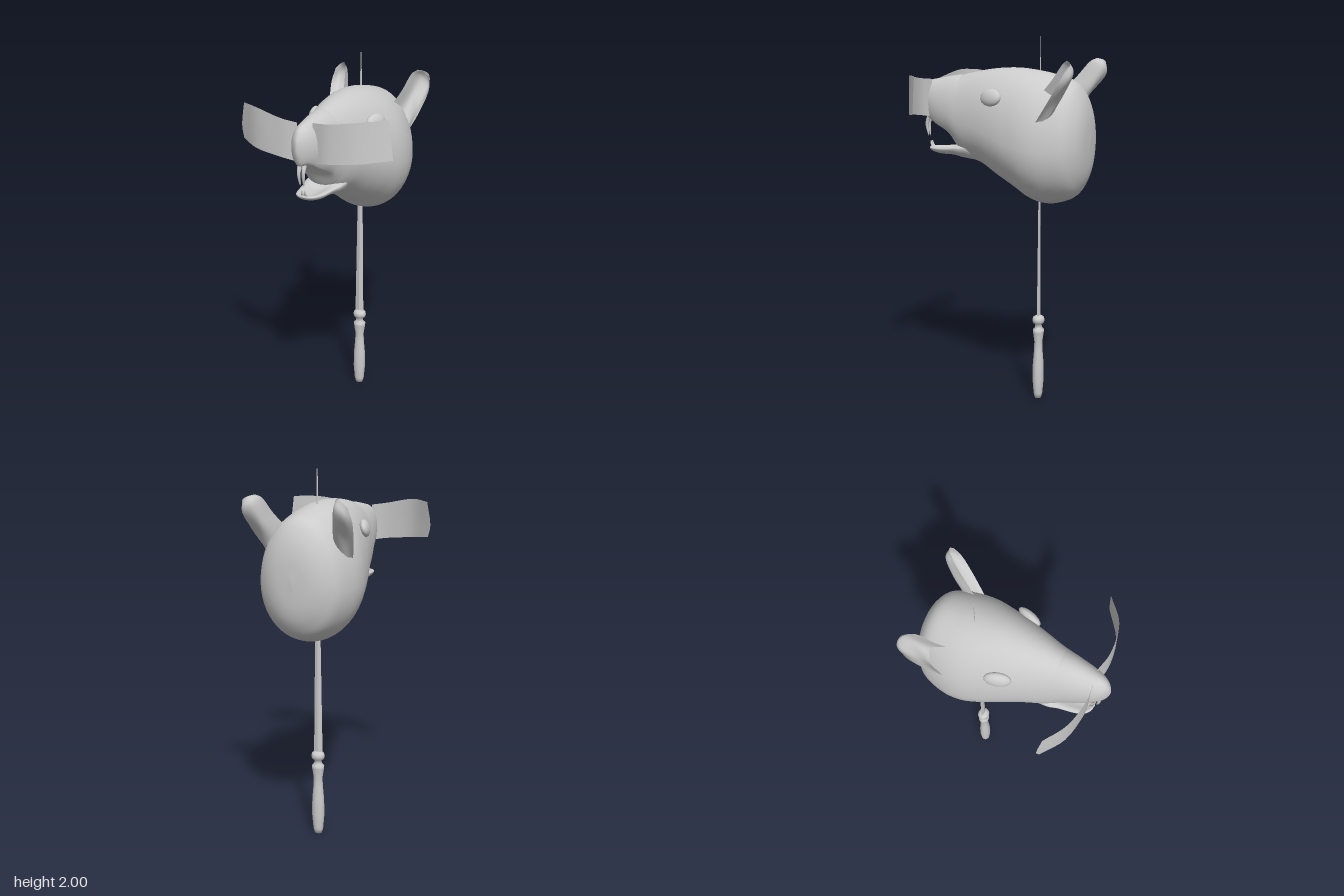
import * as THREE from 'three';

const V = (x, y, z) => new THREE.Vector3(x, y, z);
const solid = new THREE.MeshStandardMaterial({ color: 0xcccccc });
const flat = new THREE.MeshStandardMaterial({ color: 0xcccccc, flatShading: true });
const thin = new THREE.MeshStandardMaterial({ color: 0xcccccc, side: THREE.DoubleSide });
const spline = (pts) => new THREE.CatmullRomCurve3(pts, false, 'catmullrom', 0.5);

function add(group, name, geometry, material = solid) {
  const mesh = new THREE.Mesh(geometry, material);
  mesh.name = name;
  group.add(mesh);
  return mesh;
}

// Grid of points from a function point(row, column), both 0..1
function grid(rows, cols, point) {
  const pos = [], idx = [];
  for (let i = 0; i <= rows; i++) {
    for (let j = 0; j <= cols; j++) pos.push(...point(i / rows, j / cols).toArray());
  }
  for (let i = 0; i < rows; i++) {
    for (let j = 0; j < cols; j++) {
      const a = i * (cols + 1) + j, b = a + 1, c = a + cols + 1, d = c + 1;
      idx.push(a, b, c, b, d, c);
    }
  }
  const g = new THREE.BufferGeometry();
  g.setAttribute('position', new THREE.Float32BufferAttribute(pos, 3));
  g.setIndex(idx);
  g.computeVertexNormals();
  return g;
}

// Egg-shaped sections [z, top, bottom, halfWidth, widestY, hollow] lofted along z;
// hollow > 0 lifts the underside into an arch, hollow < 0 sinks the top
function loft(sections, rows, cols) {
  const outline = spline(sections.map(([z, t, b]) => V(t, b, z)));
  const shape = spline(sections.map(([, , , w, y, h = 0]) => V(w, y, h)));
  const g = grid(rows, cols, (u, v) => {
    const { x: top, y: bottom, z } = outline.getPoint(u);
    const { x: w, y: mid, z: hollow } = shape.getPoint(u);
    const a = v * Math.PI * 2 - Math.PI / 2;
    const s = Math.sin(a), c = Math.cos(a);
    let y = mid + s * (s > 0 ? top - mid : mid - bottom);
    if (s * hollow < 0) y += hollow * Math.max(0, 1 - (c / 0.75) ** 2);
    return V(Math.max(w, 0) * c, y, z);
  });
  // Same normal on both sides of the seam
  const n = g.attributes.normal;
  for (let i = 0; i <= rows; i++) {
    const a = i * (cols + 1), b = a + cols;
    const m = V(0, n.getY(a) + n.getY(b), n.getZ(a) + n.getZ(b)).normalize();
    n.setXYZ(a, m.x, m.y, m.z);
    n.setXYZ(b, m.x, m.y, m.z);
  }
  return g;
}

// Thin surface spanned across several lengthwise curves
function sheet(lines, rows, cols) {
  const curves = lines.map((l) => spline(l.map((p) => V(...p))));
  return grid(rows, cols, (u, v) => spline(curves.map((c) => c.getPoint(u))).getPoint(v));
}

// Curved tooth tapering to its tip
function tooth(points, radius) {
  const path = spline(points.map((p) => V(...p)));
  return grid(10, 10, (u, v) => {
    const r = radius * Math.sqrt(1 - u), a = v * Math.PI * 2;
    return path.getPoint(u).add(V(r * Math.cos(a), 0, r * Math.sin(a)));
  });
}

export function createModel() {
  const model = new THREE.Group();
  model.name = 'animalHeadOnStick';

  // Skull and upper muzzle
  add(model, 'head', loft([
    [-0.505, 1.47, 1.45, 0.0, 1.46],
    [-0.495, 1.60, 1.31, 0.10, 1.46],
    [-0.465, 1.70, 1.22, 0.17, 1.45],
    [-0.41, 1.77, 1.155, 0.225, 1.43],
    [-0.30, 1.805, 1.12, 0.258, 1.42],
    [-0.20, 1.825, 1.135, 0.26, 1.43],
    [-0.10, 1.835, 1.195, 0.238, 1.45],
    [0.0, 1.832, 1.25, 0.207, 1.49],
    [0.10, 1.82, 1.31, 0.173, 1.52],
    [0.20, 1.80, 1.345, 0.14, 1.54],
    [0.25, 1.792, 1.39, 0.125, 1.56],
    [0.30, 1.785, 1.435, 0.11, 1.59, 0.04],
    [0.38, 1.77, 1.475, 0.087, 1.62, 0.06],
    [0.44, 1.757, 1.525, 0.064, 1.64, 0.03],
    [0.48, 1.73, 1.56, 0.038, 1.65],
    [0.50, 1.69, 1.61, 0.014, 1.65],
    [0.505, 1.655, 1.645, 0.0, 1.65],
  ], 96, 48));

  // Scooped lower jaw
  add(model, 'lowerJaw', loft([
    [0.08, 1.42, 1.36, 0.02, 1.39],
    [0.14, 1.43, 1.33, 0.10, 1.40],
    [0.22, 1.42, 1.338, 0.108, 1.395],
    [0.28, 1.405, 1.35, 0.092, 1.39, -0.02],
    [0.36, 1.398, 1.352, 0.078, 1.385, -0.02],
    [0.41, 1.396, 1.362, 0.06, 1.385, -0.015],
    [0.435, 1.393, 1.374, 0.032, 1.385],
    [0.443, 1.388, 1.384, 0.0, 1.386],
  ], 40, 32));

  for (const s of [1, -1]) {
    const side = s > 0 ? 'left' : 'right';

    // Almond eye set into the cheek
    const eye = add(model, `${side}Eye`, new THREE.SphereGeometry(1, 24, 16));
    eye.scale.set(0.026, 0.046, 0.068);
    eye.position.set(s * 0.183, 1.685, -0.012);
    eye.rotation.set(0, -s * 0.3, s * 0.25);

    // Cupped ear: inner edge, deep fold, outer edge
    add(model, `${side}Ear`, sheet([
      [[0.14, 1.70, -0.27], [0.175, 1.78, -0.35], [0.2, 1.86, -0.415], [0.225, 1.883, -0.45]],
      [[0.17, 1.66, -0.37], [0.195, 1.74, -0.435], [0.225, 1.83, -0.485], [0.25, 1.875, -0.475]],
      [[0.22, 1.60, -0.36], [0.24, 1.69, -0.41], [0.275, 1.79, -0.485], [0.275, 1.86, -0.485]],
      [[0.235, 1.56, -0.28], [0.27, 1.65, -0.35], [0.298, 1.765, -0.43], [0.29, 1.84, -0.47]],
    ].map((l) => l.map(([x, y, z]) => [s * x, y, z])), 16, 16), thin);

    // Upper and lower front teeth
    add(model, `${side}UpperTooth`, tooth(
      [[s * 0.012, 1.59, 0.43], [s * 0.013, 1.52, 0.46], [s * 0.01, 1.445, 0.452]], 0.014), thin);
    add(model, `${side}LowerTooth`, tooth(
      [[s * 0.009, 1.375, 0.415], [s * 0.009, 1.40, 0.435], [s * 0.008, 1.425, 0.44]], 0.009), thin);
  }

  // Curved whisker strips, slightly different on each side
  add(model, 'leftWhiskerStrip', sheet([
    [[0.04, 1.765, 0.41], [0.145, 1.775, 0.432], [0.29, 1.795, 0.41], [0.405, 1.80, 0.315]],
    [[0.045, 1.56, 0.41], [0.145, 1.575, 0.437], [0.29, 1.59, 0.415], [0.43, 1.602, 0.315]],
  ], 12, 1), thin);
  add(model, 'rightWhiskerStrip', sheet([
    [[-0.04, 1.76, 0.42], [-0.135, 1.775, 0.428], [-0.29, 1.805, 0.398], [-0.405, 1.80, 0.325]],
    [[-0.04, 1.66, 0.42], [-0.135, 1.67, 0.428], [-0.29, 1.70, 0.40], [-0.432, 1.68, 0.31]],
    [[-0.04, 1.56, 0.42], [-0.135, 1.575, 0.428], [-0.29, 1.592, 0.40], [-0.415, 1.61, 0.32]],
  ], 12, 6), thin);

  // Tapered spike running up through the head
  const spike = add(model, 'spike', new THREE.CylinderGeometry(0.003, 0.026, 1.54, 4), flat);
  spike.position.set(-0.005, 1.23, -0.215);
  spike.scale.z = 0.3;

  // Turned handle with a collar bead
  const profile = [
    [0, 0], [0.02, 0.003], [0.028, 0.03], [0.035, 0.11], [0.034, 0.2], [0.027, 0.28], [0.025, 0.33],
    [0.034, 0.385], [0.035, 0.4], [0.022, 0.412], [0.02, 0.43], [0.034, 0.44], [0.038, 0.456],
    [0.034, 0.472], [0.02, 0.48], [0, 0.482],
  ].map(([r, y]) => new THREE.Vector2(r, y));
  const handle = add(model, 'handle', new THREE.LatheGeometry(profile, 24));
  handle.position.set(-0.003, 0, -0.215);
  handle.scale.z = 0.87;

  return model;
}
